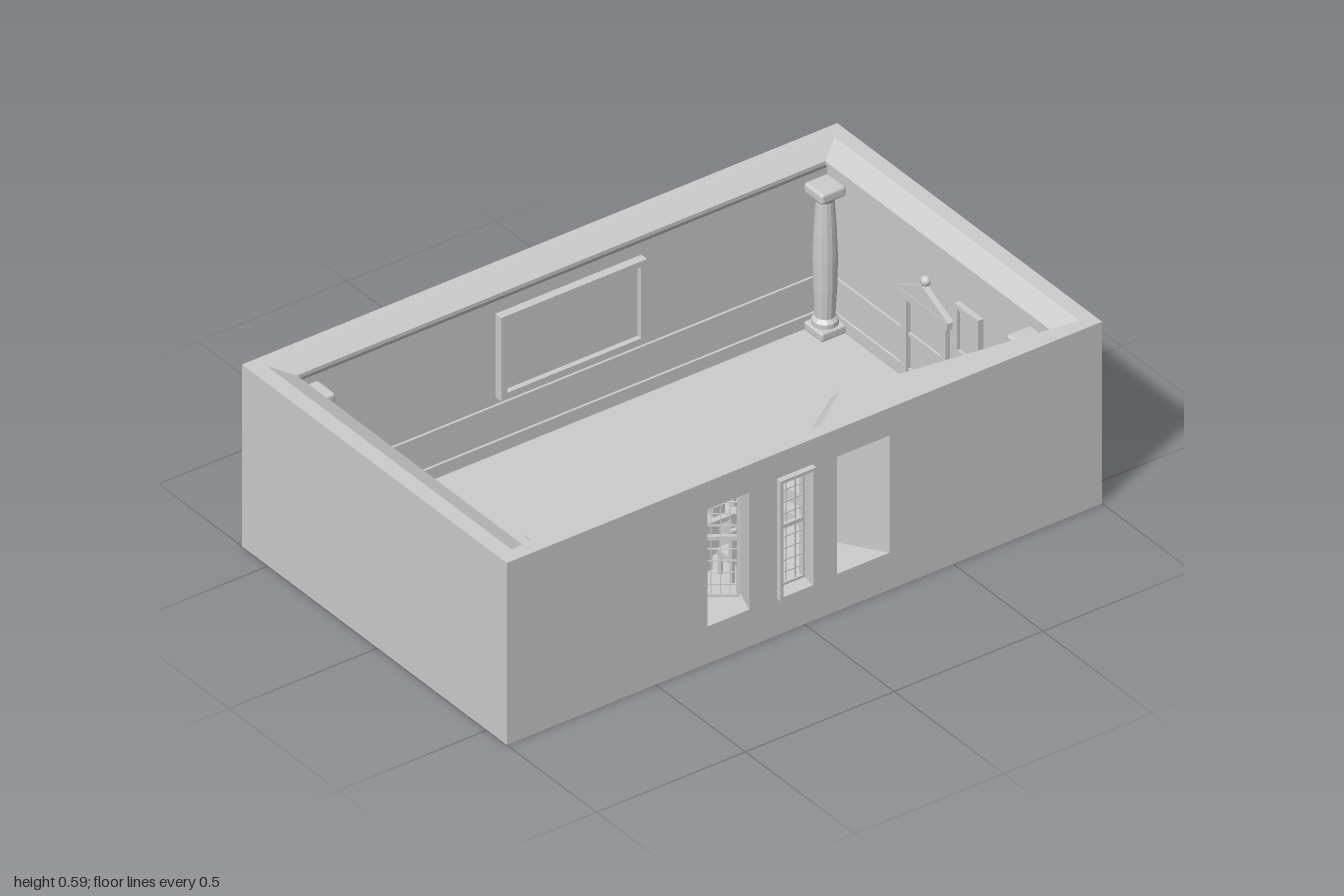
import * as THREE from 'three';
import { RoundedBoxGeometry } from 'three/addons/geometries/RoundedBoxGeometry.js';

const grey = new THREE.MeshStandardMaterial({ color: 0xcccccc, side: THREE.DoubleSide });
const faceted = new THREE.MeshStandardMaterial({ color: 0xcccccc, side: THREE.DoubleSide, flatShading: true });

const H = 0.59, FLOOR = 0.04, SILL = 0.12, HEAD = 0.5, FRONT = 0.59, BACK = -0.62;

// Plan of the rim (top of the cornice) and of the cornice lip, corner by corner as [x, z]
const rim = [[-0.95, -0.57], [0.955, -0.57], [0.955, 0.55], [0.225, 0.445], [0.085, 0.55], [-0.14, 0.55], [-0.28, 0.445], [-0.95, 0.545]];
const lip = [[-0.885, -0.525], [0.89, -0.525], [0.89, 0.51], [0.215, 0.42], [0.07, 0.52], [-0.125, 0.52], [-0.265, 0.42], [-0.885, 0.51]];
const plan = t => lip.map(([x, z], i) => [x + (rim[i][0] - x) * t, z + (rim[i][1] - z) * t]);
const ring = (t, y) => plan(t).map(([x, z]) => [x, y, z]);
const wall = plan(0.25);

function add(parent, name, geometry, x = 0, y = 0, z = 0, material = grey) {
  const m = new THREE.Mesh(geometry, material);
  m.name = name;
  m.position.set(x, y, z);
  parent.add(m);
  return m;
}
const box = (parent, name, w, h, d, x, y, z) => add(parent, name, new THREE.BoxGeometry(w, h, d), x, y, z);

function group(parent, name, x = 0, y = 0, z = 0, ry = 0) {
  const g = new THREE.Group();
  g.name = name;
  g.position.set(x, y, z);
  g.rotation.y = ry;
  parent.add(g);
  return g;
}

// Group whose local x axis runs in plan from a to b
function along(parent, name, a, b) {
  const g = group(parent, name, a[0], 0, a[1], Math.atan2(a[1] - b[1], b[0] - a[0]));
  g.userData.length = Math.hypot(b[0] - a[0], b[1] - a[1]);
  return g;
}

// Flat quads between successive closed rings of points
function loft(rings) {
  const p = [];
  for (let r = 0; r + 1 < rings.length; r++) {
    const A = rings[r], B = rings[r + 1], n = A.length;
    for (let i = 0; i < n; i++) {
      const j = (i + 1) % n;
      p.push(...A[i], ...A[j], ...B[j], ...A[i], ...B[j], ...B[i]);
    }
  }
  const g = new THREE.BufferGeometry();
  g.setAttribute('position', new THREE.Float32BufferAttribute(p, 3));
  g.computeVertexNormals();
  return g;
}

const outline = (pts, Type = THREE.Shape) => new Type(pts.map(([x, y]) => new THREE.Vector2(x, y)));
const rect = (x0, y0, x1, y1) => [[x0, y0], [x1, y0], [x1, y1], [x0, y1]];

// Flat sheet with holes; horizontal sheets read their points as [x, z]
function sheet(pts, holes = [], horizontal = false) {
  const s = outline(horizontal ? pts.map(([x, z]) => [x, -z]) : pts);
  for (const h of holes) s.holes.push(outline(horizontal ? h.map(([x, z]) => [x, -z]) : h, THREE.Path));
  const g = new THREE.ShapeGeometry(s);
  return horizontal ? g.rotateX(-Math.PI / 2) : g;
}

// Rectangular frame of four bars in the local xy plane
function frame(parent, name, x0, y0, x1, y1, w, d, z) {
  const s = outline(rect(x0, y0, x1, y1));
  s.holes.push(outline(rect(x0 + w, y0 + w, x1 - w, y1 - w), THREE.Path));
  add(parent, name, new THREE.ExtrudeGeometry(s, { depth: d, bevelEnabled: false }), 0, 0, z - d / 2);
}

// Sash window with glazing bars
function sash(parent, x0, x1, z) {
  const g = group(parent, 'sashWindow');
  frame(g, 'windowFrame', x0, SILL, x1, HEAD, 0.008, 0.014, z);
  const w = x1 - x0, h = HEAD - SILL;
  box(g, 'meetingRail', w, 0.012, 0.014, (x0 + x1) / 2, SILL + h / 2, z);
  for (let i = 1; i < 4; i++) box(g, 'glazingBar', 0.003, h, 0.004, x0 + w * i / 4, SILL + h / 2, z);
  for (let i = 1; i < 10; i++) if (i !== 5) box(g, 'glazingBar', w, 0.003, 0.004, (x0 + x1) / 2, SILL + h * i / 10, z);
}

// Pleated curtain
function curtain(parent, x, z, w) {
  const geo = new THREE.PlaneGeometry(w, 0.48, 16, 1), p = geo.attributes.position;
  for (let i = 0; i < p.count; i++) p.setZ(i, 0.004 * Math.sin((p.getX(i) / w) * Math.PI * 8));
  geo.computeVertexNormals();
  add(parent, 'curtain', geo, x, FLOOR + 0.25, z);
}

function column(parent, x, z) {
  const g = group(parent, 'column', x, FLOOR, z);
  add(g, 'plinth', new RoundedBoxGeometry(0.085, 0.03, 0.085, 2, 0.008), 0, 0.015, 0);
  const profile = [[0.038, 0.03], [0.038, 0.045], [0.028, 0.055], [0.033, 0.15], [0.035, 0.24], [0.032, 0.33], [0.026, 0.43], [0.034, 0.445]];
  add(g, 'shaft', new THREE.LatheGeometry(profile.map(p => new THREE.Vector2(...p)), 14), 0, 0, 0, faceted);
  add(g, 'capital', new RoundedBoxGeometry(0.085, 0.035, 0.085, 2, 0.01), 0, 0.462, 0);
}

function flag(parent, x, z) {
  const g = group(parent, 'flag', x, FLOOR, z);
  add(g, 'flagBase', new THREE.CylinderGeometry(0.016, 0.02, 0.012, 12), 0, 0.006, 0);
  add(g, 'flagPole', new THREE.CylinderGeometry(0.003, 0.003, 0.39, 8), 0, 0.195, 0);
  add(g, 'flagCloth', new THREE.ConeGeometry(0.032, 0.26, 10), 0.004, 0.22, 0, faceted).scale.z = 0.3;
}

function sofa(parent, x, z, ry) {
  const g = group(parent, 'sofa', x, FLOOR, z, ry);
  box(g, 'sofaSeat', 0.065, 0.04, 0.21, 0, 0.02, 0);
  box(g, 'sofaBack', 0.022, 0.08, 0.21, 0.022, 0.04, 0);
}

// Pedimented surround on a side wall, facing the local +z
function surround(parent, x, z, ry) {
  const g = group(parent, 'wallSurround', x, 0, z, ry);
  for (const s of [-1, 1]) box(g, 'pilaster', 0.025, 0.27, 0.02, s * 0.09, FLOOR + 0.135, 0.005);
  box(g, 'lintel', 0.23, 0.025, 0.026, 0, 0.32, 0.006);
  const tri = outline([[-0.12, 0.333], [0.12, 0.333], [0, 0.39]]);
  add(g, 'pediment', new THREE.ExtrudeGeometry(tri, { depth: 0.018, bevelEnabled: false }));
  add(g, 'ornament', new THREE.SphereGeometry(0.016, 12, 8), 0, 0.405, 0.006);
}

export function createModel() {
  const root = new THREE.Group();
  root.name = 'officeRoom';

  // Outer shell
  const shell = group(root, 'outerShell');
  const openings = [[-0.325, -0.185], [-0.09, 0.025], [0.11, 0.285]];
  add(shell, 'frontWall', sheet(rect(-1, 0, 1, H), openings.map(([a, b]) => rect(a, SILL, b, HEAD))), 0, 0, FRONT);
  box(shell, 'backWall', 2, H, 0.004, 0, H / 2, BACK + 0.002);
  for (const s of [-1, 1]) box(shell, 'sideWall', 0.004, H, FRONT - BACK, s * 0.998, H / 2, (FRONT + BACK) / 2);
  const corners = rect(-1, BACK, 1, FRONT);
  add(shell, 'underside', sheet(corners, [], true));
  add(shell, 'wallTop', sheet(corners, [rim], true), 0, H);

  // Room lining
  const room = group(root, 'roomLining');
  add(room, 'floor', sheet(wall, [], true), 0, FLOOR);
  add(room, 'cornice', loft([ring(1, H), ring(0, 0.56), ring(0, 0.548), ring(0.25, 0.53)]));
  for (const i of [6, 7, 0, 1, 2]) {
    const g = along(room, 'wallPanel', wall[i], wall[(i + 1) % 8]), L = g.userData.length;
    add(g, 'innerWall', sheet(rect(0, FLOOR, L, 0.535)));
    box(g, 'baseboard', L, 0.04, 0.016, L / 2, FLOOR + 0.02, 0);
    box(g, 'chairRail', L, 0.012, 0.016, L / 2, 0.19, 0);
  }

  // Bay with three deep windows
  const bay = group(root, 'windowBay');
  [[6, 5], [5, 4], [4, 3]].forEach(([i, j], k) => {
    const a = wall[i], b = wall[j];
    const g = along(bay, 'bayPanel', a, b), L = g.userData.length;
    const x0 = L * 0.2, x1 = L * 0.8;
    add(g, 'bayWall', sheet(rect(0, FLOOR, L, 0.535), [rect(x0, SILL, x1, HEAD)]));
    frame(g, 'architrave', x0 - 0.01, SILL - 0.01, x1 + 0.01, HEAD + 0.01, 0.01, 0.012, 0);
    sash(g, x0, x1, 0.015);
    for (const x of [x0 - 0.016, x1 + 0.016]) curtain(g, x, -0.012, 0.026);
    box(g, 'curtainRail', L * 0.9, 0.02, 0.014, L / 2, 0.525, -0.008);
    const at = t => [a[0] + (b[0] - a[0]) * t, a[1] + (b[1] - a[1]) * t];
    const reveal = ([p, q]) => [[p[0], SILL, p[1]], [q[0], SILL, q[1]], [q[0], HEAD, q[1]], [p[0], HEAD, p[1]]];
    const [o0, o1] = openings[k];
    add(bay, 'windowReveal', loft([reveal([at(0.2), at(0.8)]), reveal([[o0, FRONT], [o1, FRONT]])]));
  });
  frame(bay, 'outerWindowFrame', -0.093, SILL, 0.027, HEAD + 0.008, 0.01, 0.02, 0.598);

  // Corner columns
  for (const [x, z] of [[-0.855, -0.485], [0.86, -0.485], [0.86, 0.44], [-0.855, 0.455]]) column(root, x, z);

  // Picture on the back wall
  const picture = group(root, 'backPicture', 0.035, 0.355, wall[0][1]);
  frame(picture, 'pictureFrame', -0.245, -0.135, 0.245, 0.135, 0.02, 0.03, 0.012);
  box(picture, 'pictureCanvas', 0.45, 0.23, 0.008, 0, 0, 0.006);

  // Side wall decoration
  surround(root, wall[0][0], -0.06, Math.PI / 2);
  surround(root, wall[1][0], -0.08, -Math.PI / 2);
  const portrait = group(root, 'sidePicture', wall[1][0], 0.335, 0.12, -Math.PI / 2);
  frame(portrait, 'pictureFrame', -0.055, -0.08, 0.055, 0.08, 0.014, 0.02, 0.008);
  box(portrait, 'pictureCanvas', 0.09, 0.14, 0.006, 0, 0, 0.004);

  // Carpet platform reaching into the bay
  const carpet = [[-0.035, 0.03], [0.2, 0.115], [0.265, 0.3], [0.215, 0.42], [0.07, 0.52], [-0.125, 0.52], [-0.265, 0.42], [-0.325, 0.3], [-0.27, 0.115]];
  add(root, 'carpet', sheet(carpet, [], true), 0, FLOOR + 0.008);
  add(root, 'carpetEdge', loft([FLOOR, FLOOR + 0.008].map(y => carpet.map(([x, z]) => [x, y, z]))));

  // Furniture
  sofa(root, 0.245, 0.2, 0.37);
  sofa(root, -0.315, 0.2, Math.PI - 0.37);
  const desk = group(root, 'desk', -0.052, FLOOR, 0.252);
  for (const s of [-1, 1]) box(desk, 'deskPedestal', 0.06, 0.15, 0.064, s * 0.062, 0.075, 0);
  box(desk, 'deskFront', 0.18, 0.14, 0.008, 0, 0.08, -0.026);
  box(desk, 'deskTop', 0.196, 0.014, 0.075, 0, 0.157, 0);
  box(desk, 'deskBox', 0.04, 0.03, 0.036, 0, 0.179, 0);
  for (const s of [-1, 1]) add(desk, 'deskLamp', new THREE.CylinderGeometry(0.006, 0.01, 0.035, 12), s * 0.06, 0.181, 0);
  const chair = group(root, 'chair', -0.05, FLOOR, 0.342);
  box(chair, 'chairSeat', 0.075, 0.02, 0.07, 0, 0.08, 0);
  box(chair, 'chairBack', 0.075, 0.1, 0.014, 0, 0.13, 0.028);
  for (const sx of [-1, 1]) for (const sz of [-1, 1]) box(chair, 'chairLeg', 0.01, 0.07, 0.01, sx * 0.03, 0.035, sz * 0.028);
  flag(root, 0.325, 0.388);
  flag(root, -0.385, 0.388);

  return root;
}
